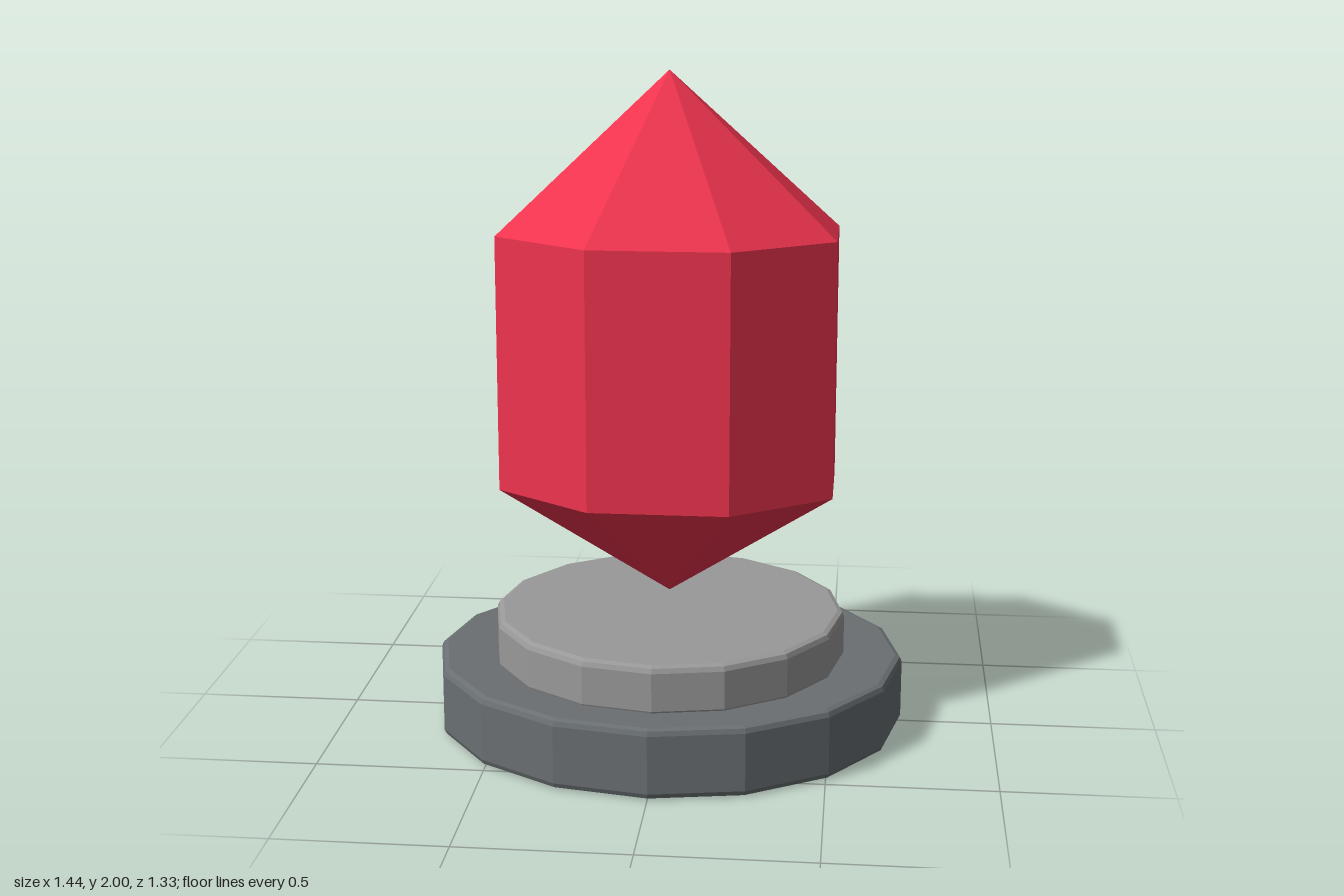
import * as THREE from 'three';

// Faceted solid of revolution from a [radius, height] profile, bottom to top
function facetedLathe(name, profile, sides, phase, color, scaleX, scaleZ) {
  const points = profile.map(([r, y]) => new THREE.Vector2(r, y));
  const geometry = new THREE.LatheGeometry(points, sides, phase);
  geometry.scale(scaleX, 1, scaleZ);
  const material = new THREE.MeshStandardMaterial({ color, flatShading: true });
  const mesh = new THREE.Mesh(geometry, material);
  mesh.name = name;
  return mesh;
}

// Sixteen-sided disc with softly bevelled rims
function disc(name, rx, rz, bottom, top, color) {
  const b = 0.02, c = 0.006;
  const profile = [
    [0, bottom], [1 - b / rx, bottom], [1 - c / rx, bottom + c], [1, bottom + b],
    [1, top - b], [1 - c / rx, top - c], [1 - b / rx, top], [0, top],
  ];
  return facetedLathe(name, profile, 16, 0, color, rx, rz);
}

export function createModel() {
  const model = new THREE.Group();
  model.name = 'crystalOnPedestal';

  // Stepped pedestal
  model.add(disc('pedestalBase', 0.72, 0.663, 0, 0.215, 0x6a6f72));
  model.add(disc('pedestalTop', 0.54, 0.54, 0.2, 0.355, 0x999999));

  // Floating eight-sided crystal, flattened front to back
  const crystalProfile = [[0, 0.405], [1, 0.755], [1, 1.525], [0, 2]];
  model.add(facetedLathe('crystal', crystalProfile, 8, Math.PI / 8, 0xf0344f, 0.541, 0.39));

  return model;
}
